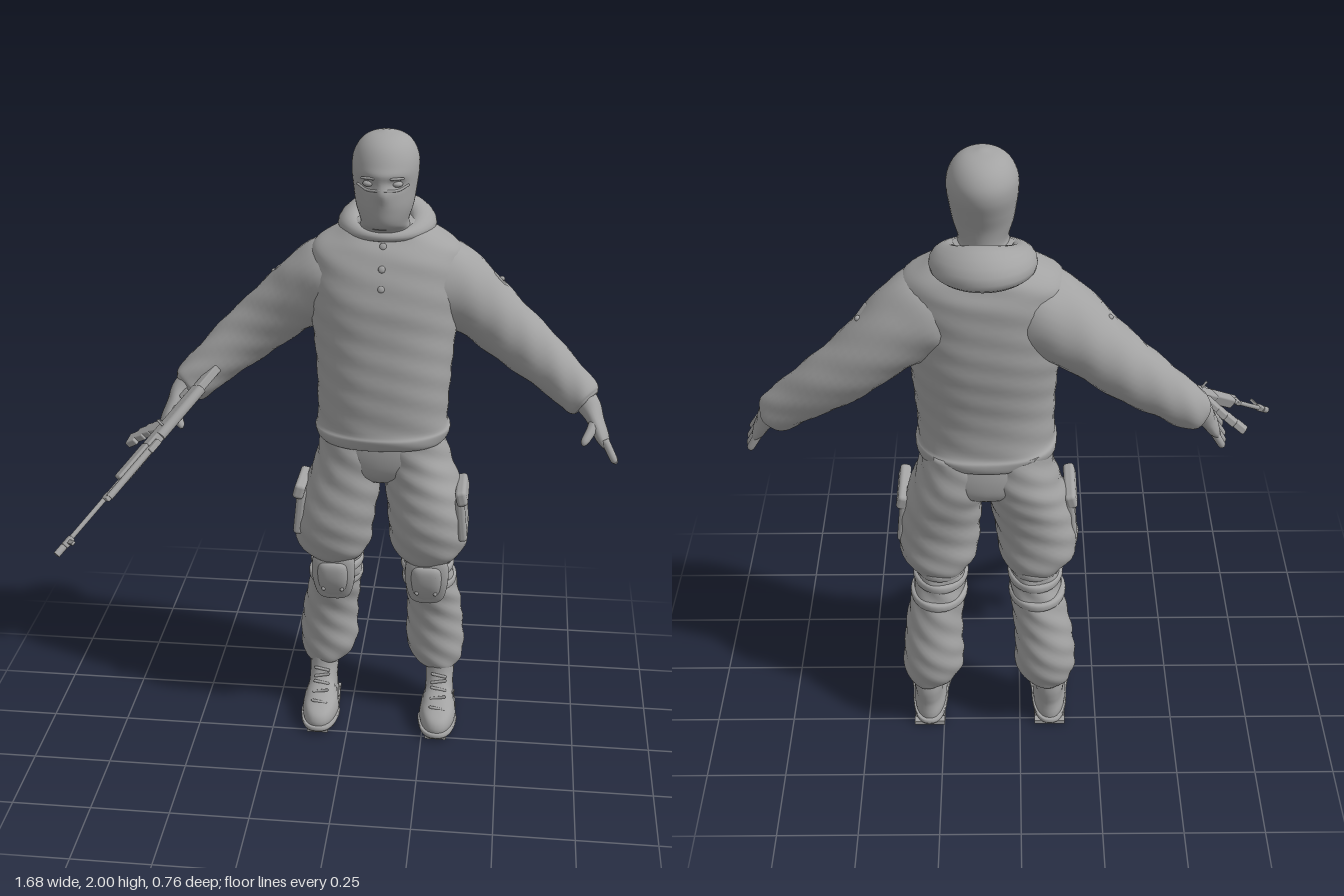
import * as THREE from 'three';
import { mergeVertices } from 'three/addons/utils/BufferGeometryUtils.js';
import { RoundedBoxGeometry } from 'three/addons/geometries/RoundedBoxGeometry.js';

const CX = 0.1; // body axis
const grey = new THREE.MeshStandardMaterial({ color: 0xa3a3a3 });
grey.name = 'plain grey';

function add(parent, name, geo, pos = [0, 0, 0], rot = [0, 0, 0], scale = [1, 1, 1]) {
  const m = new THREE.Mesh(geo, grey);
  m.name = name;
  m.position.set(...pos);
  m.rotation.set(...rot);
  m.scale.set(...scale);
  parent.add(m);
  return m;
}

// Smooth skin over elliptical rings; rows are [x, y, z, a, b].
// flat: rings stay horizontal (a = half width, b = half depth); otherwise they follow the path.
function loft(rows, { flat = false, n = 28, sub = 5, power = 2, fold = 0, shape } = {}) {
  const path = new THREE.CatmullRomCurve3(rows.map(r => new THREE.Vector3(r[0], r[1], r[2])), false, 'catmullrom');
  const size = new THREE.CatmullRomCurve3(rows.map(r => new THREE.Vector3(r[3], r[4], 0)), false, 'catmullrom');
  const steps = (rows.length - 1) * sub, pos = [], idx = [];
  const t = new THREE.Vector3(), u = new THREE.Vector3(0, 0, 1), v = new THREE.Vector3(1, 0, 0);
  const sp = x => Math.sign(x) * Math.abs(x) ** (2 / power);
  for (let i = 0; i <= steps; i++) {
    const c = path.getPoint(i / steps), s = size.getPoint(i / steps);
    if (!flat) {
      path.getTangent(i / steps, t);
      v.set(0, 0, 1).addScaledVector(t, -t.z).normalize();
      u.crossVectors(v, t);
    }
    const [ru, rv] = flat ? [s.y, s.x] : [s.x, s.y];
    for (let j = 0; j < n; j++) {
      const th = j / n * Math.PI * 2;
      const f = fold * Math.sin(3 * th + c.y * 31) * Math.sin(c.y * 47 + 2 * th);
      const p = c.clone().addScaledVector(u, sp(Math.cos(th)) * (ru + f)).addScaledVector(v, sp(Math.sin(th)) * (rv + f));
      if (shape) shape(p);
      pos.push(p.x, p.y, p.z);
    }
  }
  for (let i = 0; i < steps; i++) for (let j = 0; j < n; j++) {
    const a = i * n + j, b = i * n + (j + 1) % n;
    idx.push(a, b, a + n, b, b + n, a + n);
  }
  // end caps
  for (const [k, base, flip] of [[0, 0, true], [rows.length - 1, steps * n, false]]) {
    const c = pos.length / 3;
    pos.push(rows[k][0], rows[k][1], rows[k][2]);
    for (let j = 0; j < n; j++) {
      const a = base + j, b = base + (j + 1) % n;
      idx.push(c, flip ? b : a, flip ? a : b);
    }
  }
  const g = new THREE.BufferGeometry();
  g.setAttribute('position', new THREE.Float32BufferAttribute(pos, 3));
  g.setIndex(idx);
  g.computeVertexNormals();
  return g;
}

// Upright form from rows [y, centre x, half width, front z, back z]
const stack = (rows, opt) => loft(rows.map(([y, x, hw, zf, zb]) => [x, y, (zf + zb) / 2, hw, (zf - zb) / 2]), { flat: true, ...opt });
const bump = (x, w) => Math.exp(-x * x / (w * w));

function buildHead(g) {
  add(g, 'maskedHead', stack([
    [1.66, CX, 0.085, -0.09, -0.25], [1.71, CX, 0.08, -0.075, -0.235], [1.74, CX, 0.072, -0.025, -0.23],
    [1.79, CX, 0.086, -0.012, -0.236], [1.84, CX, 0.094, -0.012, -0.255], [1.89, CX, 0.1, -0.012, -0.273],
    [1.93, CX, 0.097, -0.025, -0.272], [1.965, CX, 0.08, -0.05, -0.25], [1.988, CX, 0.052, -0.088, -0.212], [2.0, CX, 0.008, -0.14, -0.155],
  ], {
    n: 48, sub: 7, shape: p => {
      if (p.z < -0.1) return;
      const x = p.x - CX;
      p.z += 0.014 * bump(x, 0.02) * bump(p.y - 1.84, 0.025); // nose
      p.z -= 0.014 * bump(Math.abs(x) - 0.043, 0.022) * bump(p.y - 1.867, 0.014); // eye sockets
      p.z += 0.005 * bump(x, 0.07) * bump(p.y - 1.895, 0.014); // brow
    },
  }));
  for (const s of [-1, 1]) {
    add(g, 'eye', new THREE.SphereGeometry(0.014, 16, 12), [CX + s * 0.042, 1.867, -0.037], [0, s * 0.3, 0], [1.2, 0.65, 1]);
    add(g, 'eyebrow', new THREE.CapsuleGeometry(0.004, 0.035, 4, 8), [CX + s * 0.043, 1.886, -0.021], [0, s * 0.35, Math.PI / 2]);
  }
  // mask edge under the eyes
  const rim = [-0.075, -0.045, 0, 0.045, 0.075].map((x, i) =>
    new THREE.Vector3(CX + x, [1.862, 1.85, 1.853, 1.85, 1.862][i], [-0.054, -0.03, -0.006, -0.03, -0.054][i]));
  add(g, 'maskEdge', new THREE.TubeGeometry(new THREE.CatmullRomCurve3(rim), 24, 0.004, 6));
}

function buildTop(g) {
  add(g, 'sweater', stack([
    [1.035, CX, 0.185, 0, -0.29], [1.045, CX, 0.205, 0.018, -0.31], [1.075, CX, 0.212, 0.028, -0.318], [1.1, CX, 0.204, 0.02, -0.308],
    [1.2, CX, 0.206, 0.02, -0.31], [1.3, CX, 0.212, 0.018, -0.322], [1.4, CX, 0.222, 0.01, -0.335], [1.5, CX, 0.23, 0, -0.342],
    [1.6, CX, 0.235, -0.03, -0.342], [1.65, CX, 0.22, -0.055, -0.33], [1.69, CX, 0.16, -0.085, -0.31], [1.73, CX, 0.09, -0.11, -0.26],
  ], { n: 48, power: 2.3, fold: 0.003 }));
  [[1.67, -0.068], [1.61, -0.033], [1.555, -0.014]].forEach(([y, z]) =>
    add(g, 'button', new THREE.SphereGeometry(0.011, 12, 8), [CX, y, z], [-0.4, 0, 0], [1, 1, 0.5]));

  // hood: a ring that thickens and hangs towards the back
  let hood = new THREE.TorusGeometry(1, 0.5, 16, 56);
  hood.deleteAttribute('uv');
  hood.deleteAttribute('normal');
  const p = hood.attributes.position;
  for (let i = 0; i < p.count; i++) {
    const x = p.getX(i), y = p.getY(i), rho = Math.hypot(x, y);
    const cos = x / rho, sin = y / rho, back = (sin + 1) / 2; // sin = 1 at the back
    const o = (rho - 1) * 2, h = p.getZ(i) * 2, r = 0.018 + 0.04 * back;
    const R = 0.108 + o * r;
    p.setXYZ(i, CX + cos * R * 1.02, 1.695 + 0.035 * back + h * r * 0.85 - o * back * 0.02, -0.203 - sin * R * 1.09);
  }
  hood = mergeVertices(hood, 1e-5);
  hood.computeVertexNormals();
  add(g, 'hood', hood);
}

function buildArm(g, s) {
  const X = x => CX + s * x;
  const limb = (rows, o) => loft(rows.map(([x, ...r]) => [X(x), ...r]), o);
  add(g, 'sleeve', limb([
    [0.08, 1.56, -0.19, 0.1, 0.115], [0.15, 1.54, -0.195, 0.128, 0.135], [0.22, 1.5, -0.205, 0.122, 0.125], [0.295, 1.445, -0.217, 0.104, 0.11],
    [0.375, 1.375, -0.222, 0.095, 0.095], [0.455, 1.31, -0.215, 0.087, 0.083], [0.54, 1.24, -0.192, 0.073, 0.072],
    [0.59, 1.195, -0.175, 0.068, 0.066], [0.618, 1.17, -0.163, 0.062, 0.06], [0.63, 1.16, -0.157, 0.048, 0.048],
  ], { n: 32, fold: 0.004 }));
  add(g, 'armPocket', new RoundedBoxGeometry(0.1, 0.02, 0.06, 2, 0.006), [X(0.345), 1.518, -0.235], [0, s * 0.45, -s * 0.85]);
  add(g, 'armPocketButton', new THREE.SphereGeometry(0.009, 10, 8), [X(0.353), 1.529, -0.235]);

  add(g, 'palm', limb([
    [0.61, 1.19, -0.165, 0.04, 0.042], [0.64, 1.155, -0.143, 0.036, 0.042], [0.66, 1.12, -0.12, 0.026, 0.05],
    [0.68, 1.08, -0.096, 0.022, 0.052], [0.697, 1.05, -0.083, 0.012, 0.043],
  ], { n: 20 }));
  for (let i = 0; i < 4; i++) {
    const k = (i - 1.5) * 0.023, len = [0.85, 1, 1.05, 0.92][i];
    const at = (f, r) => [0.688 + 0.037 * f * len, 1.07 - 0.064 * f * len + k * 0.35, -0.088 + 0.018 * f + k * (0.9 + 0.45 * f), r, r];
    add(g, 'finger', limb([at(0, 0.013), at(0.5, 0.0125), at(0.9, 0.011), at(1.02, 0.004)], { n: 10, sub: 3 }));
  }
  add(g, 'thumb', limb([[0.66, 1.135, -0.105, 0.018, 0.018], [0.645, 1.108, -0.065, 0.016, 0.016],
    [0.627, 1.085, -0.035, 0.013, 0.013], [0.621, 1.076, -0.024, 0.005, 0.005]], { n: 10, sub: 3 }));
}

function buildLeg(g, s) {
  const X = x => CX + s * x;
  const up = (rows, o) => stack(rows.map(([y, x, ...r]) => [y, X(x), ...r]), o);
  add(g, 'trouserThigh', up([
    [0.6, 0.148, 0.07, -0.07, -0.255], [0.625, 0.15, 0.098, -0.035, -0.272], [0.665, 0.154, 0.122, -0.015, -0.282], [0.75, 0.15, 0.127, 0, -0.285],
    [0.85, 0.132, 0.122, 0, -0.298], [0.93, 0.112, 0.112, -0.002, -0.312], [1.0, 0.095, 0.108, -0.005, -0.31], [1.08, 0.09, 0.1, -0.01, -0.3],
  ], { n: 36, power: 2.2, fold: 0.005 }));
  add(g, 'trouserShin', up([
    [0.165, 0.198, 0.05, -0.155, -0.28], [0.185, 0.19, 0.075, -0.138, -0.298], [0.24, 0.181, 0.096, -0.13, -0.318], [0.32, 0.178, 0.094, -0.13, -0.325],
    [0.4, 0.172, 0.09, -0.125, -0.315], [0.48, 0.16, 0.085, -0.1, -0.303], [0.55, 0.15, 0.08, -0.075, -0.28], [0.63, 0.148, 0.078, -0.06, -0.262],
  ], { n: 36, fold: 0.005 }));
  // thigh pocket with flap
  add(g, 'thighPocket', new RoundedBoxGeometry(0.03, 0.15, 0.16, 3, 0.012), [X(0.258), 0.785, -0.125], [0, 0, s * 0.1]);
  add(g, 'pocketFlap', new RoundedBoxGeometry(0.035, 0.05, 0.175, 3, 0.012), [X(0.257), 0.862, -0.12], [-0.05, 0, s * 0.25]);

  // knee protection
  [[0.515, 0.155, 0.089, -0.08, -0.3], [0.575, 0.149, 0.086, -0.06, -0.283], [0.615, 0.148, 0.084, -0.055, -0.274]].forEach(([y, x, w, f, b]) =>
    add(g, 'kneeStrap', up([[y - 0.015, x, w - 0.012, f - 0.012, b + 0.012], [y - 0.01, x, w, f, b], [y + 0.01, x, w, f, b], [y + 0.015, x, w - 0.012, f - 0.012, b + 0.012]], { sub: 3 })));
  const pad = (name, k, dz) => add(g, name, loft([
    [X(0.152), 0.55 - 0.085 * k, -0.105 + dz, 0.03 * k, 0.012], [X(0.152), 0.55 - 0.07 * k, -0.1 + dz, 0.055 * k, 0.025],
    [X(0.152), 0.55, -0.086 + dz, 0.07 * k, 0.036], [X(0.152), 0.55 + 0.07 * k, -0.075 + dz, 0.066 * k, 0.03], [X(0.152), 0.55 + 0.09 * k, -0.074 + dz, 0.04 * k, 0.014],
  ], { power: 2.6 }));
  pad('kneePad', 1, 0);
  pad('kneeCap', 0.72, 0.014);
  for (const a of [-1, 1]) for (const y of [0.515, 0.55, 0.585])
    add(g, 'kneeRivet', new THREE.SphereGeometry(0.007, 10, 8), [X(0.152) + a * 0.03, y, -0.047 + (y - 0.55) * 0.15]);

  // boot
  const toe = p => { if (p.z < -0.12) p.x += (X(0.2) - p.x) * 0.12; };
  add(g, 'boot', up([
    [0.02, 0.198, 0.06, 0.022, -0.28], [0.045, 0.198, 0.062, 0.022, -0.28], [0.068, 0.198, 0.058, 0.005, -0.278], [0.088, 0.198, 0.054, -0.045, -0.278],
    [0.115, 0.198, 0.052, -0.1, -0.283], [0.15, 0.198, 0.054, -0.132, -0.286], [0.2, 0.198, 0.054, -0.145, -0.28],
  ], { n: 32, power: 2.3, shape: toe }));
  add(g, 'bootSole', up([[0.012, 0.198, 0.064, 0.028, -0.287], [0.02, 0.198, 0.067, 0.031, -0.29], [0.03, 0.198, 0.065, 0.028, -0.287]],
    { n: 36, sub: 2, power: 2.5, shape: toe }));
  for (const z of [-0.265, -0.225, -0.12, -0.08, -0.04, 0])
    add(g, 'soleTread', new THREE.BoxGeometry(z > -0.02 ? 0.07 : 0.1, 0.014, 0.026), [X(0.198), 0.007, z]);
  [[0.085, -0.042], [0.103, -0.08], [0.12, -0.108], [0.138, -0.125], [0.157, -0.134]].forEach(([y, z], i) =>
    add(g, 'bootLace', new THREE.CapsuleGeometry(0.005, 0.045, 3, 8), [X(0.198), y, z], [0, 0, Math.PI / 2 + (i % 2 ? 0.2 : -0.2)]));
}

// Rifle in its own frame: z runs to the muzzle, y is up
function buildRifle(g) {
  const r = new THREE.Group();
  r.name = 'rifle';
  const box = (name, w, h, l, y, z, rx = 0) => add(r, name, new RoundedBoxGeometry(w, h, l, 2, Math.min(w, h) * 0.2), [0, y, z], [rx, 0, 0]);
  const rod = (name, rad, l, y, z) => add(r, name, new THREE.CylinderGeometry(rad, rad, l, 14), [0, y, z], [Math.PI / 2, 0, 0]);
  box('rearStock', 0.026, 0.04, 0.1, -0.004, 0.03);
  box('receiver', 0.032, 0.042, 0.25, 0, 0.195);
  rod('receiverCover', 0.016, 0.2, 0.018, 0.17);
  box('rearSight', 0.018, 0.02, 0.045, 0.032, 0.31);
  box('handguard', 0.036, 0.038, 0.14, 0, 0.385);
  rod('gasTube', 0.011, 0.2, 0.026, 0.42);
  rod('barrel', 0.0075, 0.3, 0.004, 0.6);
  box('gasBlock', 0.016, 0.036, 0.025, 0.014, 0.52);
  box('frontSight', 0.009, 0.045, 0.014, 0.026, 0.7);
  box('frontSightBase', 0.02, 0.02, 0.035, 0.006, 0.7);
  rod('muzzle', 0.011, 0.035, 0.004, 0.735);
  box('pistolGrip', 0.022, 0.085, 0.034, -0.055, 0.1, 0.35);
  add(r, 'triggerGuard', new THREE.TorusGeometry(0.022, 0.003, 6, 16), [0, -0.026, 0.155], [0, Math.PI / 2, 0]);
  add(r, 'chargingHandle', new THREE.CylinderGeometry(0.004, 0.004, 0.03, 8), [-0.025, 0.012, 0.24], [0, 0, Math.PI / 2]);
  for (let i = 0; i < 5; i++) // curved magazine
    box('magazine', 0.022, 0.042, 0.046, -0.03 - i * 0.029, 0.24 + i * i * 0.0035, -0.08 - i * 0.09);
  const d = new THREE.Vector3(-0.53, -0.55, 0.64).normalize();
  const u = new THREE.Vector3(0.59, 0.29, 0.74).addScaledVector(d, -d.dot(new THREE.Vector3(0.59, 0.29, 0.74))).normalize();
  r.quaternion.setFromRotationMatrix(new THREE.Matrix4().makeBasis(new THREE.Vector3().crossVectors(u, d), u, d));
  r.position.set(-0.435, 1.23, -0.12);
  g.add(r);
}

export function createModel() {
  const model = new THREE.Group();
  const part = (name, build, ...args) => {
    const g = new THREE.Group();
    g.name = name;
    build(g, ...args);
    model.add(g);
  };
  part('head', buildHead);
  part('upperBody', buildTop);
  part('pelvis', g => add(g, 'trouserSeat', stack([[0.9, CX, 0.07, -0.06, -0.25], [0.94, CX, 0.15, -0.02, -0.3], [1.0, CX, 0.19, -0.005, -0.31], [1.08, CX, 0.19, -0.005, -0.3]], { power: 2.3 })));
  for (const [side, s] of [['left', 1], ['right', -1]]) {
    part(side + 'Arm', buildArm, s);
    part(side + 'Leg', buildLeg, s);
  }
  part('weapon', buildRifle);
  return model;
}
